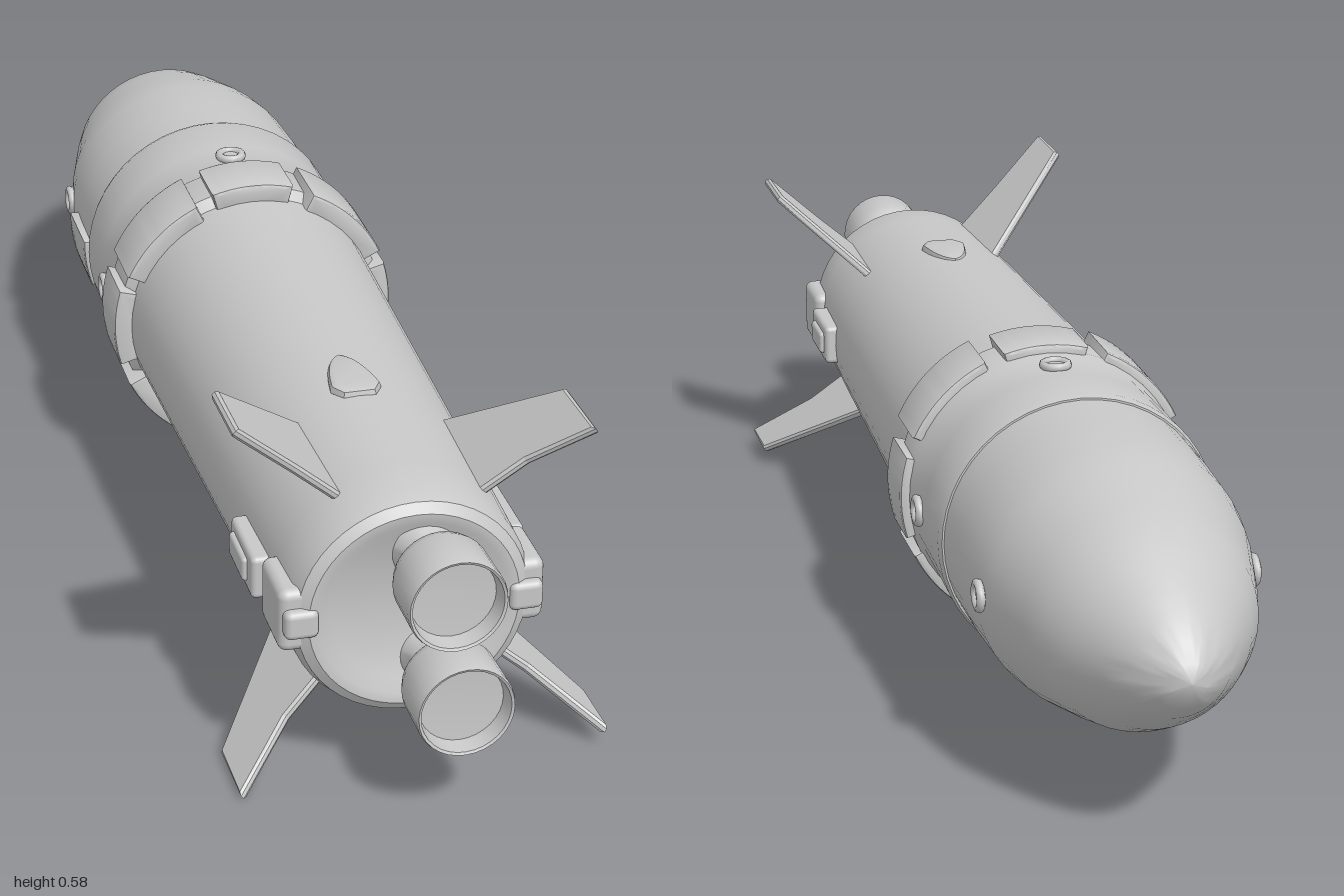
import * as THREE from 'three';
import { toCreasedNormals } from 'three/addons/utils/BufferGeometryUtils.js';
import { RoundedBoxGeometry } from 'three/addons/geometries/RoundedBoxGeometry.js';

const hullGrey = new THREE.MeshStandardMaterial({ color: 0xc8c8c8 });
hullGrey.name = 'hullGrey';

function part(name, geometry, parent) {
  const mesh = new THREE.Mesh(geometry, hullGrey);
  mesh.name = name;
  parent.add(mesh);
  return mesh;
}

// Solid of revolution about z from [z, radius] pairs, listed tail to nose
function turned(profile, segments = 48) {
  const pts = profile.map(([z, r]) => new THREE.Vector2(r, -z));
  return toCreasedNormals(new THREE.LatheGeometry(pts, segments).rotateX(-Math.PI / 2), 0.6);
}

// Bevelled piece of a ring, centred on +x, running from z0 to z1
function ringBlock(rIn, rOut, half, z0, z1) {
  const bevel = 0.006;
  const s = new THREE.Shape();
  s.absarc(0, 0, rOut - bevel, -half, half, false);
  s.absarc(0, 0, rIn, half, -half, true);
  const g = new THREE.ExtrudeGeometry(s, {
    depth: z1 - z0 - 2 * bevel, curveSegments: 8,
    bevelEnabled: true, bevelSize: bevel, bevelThickness: bevel, bevelSegments: 2,
  });
  return toCreasedNormals(g.translate(0, 0, z0 + bevel), 0.7);
}

// Pivot whose local +x points outward from the hull at the given angle
function spoke(name, angle, parent) {
  const g = new THREE.Group();
  g.name = name;
  g.rotation.z = angle;
  parent.add(g);
  return g;
}

function addPorthole(angle, radius, z, parent) {
  const g = spoke('porthole', angle, parent);
  const rim = part('portholeRim', new THREE.TorusGeometry(0.019, 0.007, 8, 12).rotateY(Math.PI / 2), g);
  rim.position.set(radius + 0.003, 0, z);
  const pane = part('portholePane', new THREE.CylinderGeometry(0.018, 0.018, 0.012, 12).rotateZ(-Math.PI / 2), g);
  pane.position.set(radius - 0.002, 0, z);
}

function addFin({ name, root, tip, zLead, zTrail }, parent) {
  const a = new THREE.Vector3(...root, 0);
  const dir = new THREE.Vector3(...tip, 0).sub(a);
  const len = dir.length();
  dir.normalize();
  const s = new THREE.Shape([
    [-0.03, 0.54], [len, zLead], [len, zTrail], [len * 0.4, 0.79], [-0.03, 0.77],
  ].map(p => new THREE.Vector2(...p)));
  const g = new THREE.ExtrudeGeometry(s, {
    depth: 0.006, bevelEnabled: true, bevelSize: 0.004, bevelOffset: -0.004,
    bevelThickness: 0.004, bevelSegments: 1,
  });
  g.translate(0, 0, -0.003);
  const zAxis = new THREE.Vector3(0, 0, 1);
  g.applyMatrix4(new THREE.Matrix4().makeBasis(dir, zAxis, dir.clone().cross(zAxis)).setPosition(a));
  part(name, g, parent);
}

export function createModel() {
  const model = new THREE.Group();
  model.name = 'rocket';

  // Everything on the hull shares its slightly tilted axis
  const body = new THREE.Group();
  body.name = 'body';
  body.position.set(-0.011, 0.287, 0);
  body.rotation.set(0.01, -0.012, 0);
  model.add(body);

  // Main hull with dished tail
  part('hull', turned([
    [0.838, 0], [0.84, 0.12], [0.852, 0.14], [0.853, 0.155], [0.843, 0.17], [0.82, 0.178],
    [0.75, 0.181], [0.6, 0.186], [0.3, 0.195], [-0.1, 0.207], [-0.15, 0.21],
  ]), body);
  // Forward band and nose cone
  part('forwardBand', turned([
    [-0.1, 0.2], [-0.125, 0.222], [-0.2, 0.224], [-0.215, 0.217], [-0.3, 0.218],
    [-0.4, 0.22], [-0.412, 0.216], [-0.412, 0.2],
  ]), body);
  part('noseCone', turned([
    [-0.405, 0.213], [-0.5, 0.212], [-0.6, 0.208], [-0.65, 0.2], [-0.7, 0.187], [-0.75, 0.174],
    [-0.8, 0.159], [-0.85, 0.133], [-0.9, 0.102], [-0.94, 0.076], [-0.97, 0.05], [-0.99, 0.026], [-1, 0],
  ]), body);

  // Castellated collar
  for (let i = 0; i < 8; i++) {
    const g = spoke('collarSection', i * Math.PI / 4, body);
    const wide = i % 2;
    part('collarBlock', ringBlock(0.2, 0.236, wide ? 0.33 : 0.27, -0.205, wide ? -0.085 : -0.1), g);
  }

  // Portholes: four round the band, two on the nose
  for (let i = 0; i < 4; i++) addPorthole(i * Math.PI / 2, 0.218, -0.26, body);
  for (const a of [0, Math.PI]) addPorthole(a, 0.206, -0.62, body);

  // Hatch panel on the right of the nose
  part('hatchPanel', ringBlock(0.2, 0.224, 0.17, -0.55, -0.42), spoke('hatch', Math.PI + 0.15, body));

  // Side brackets near the tail
  for (const a of [0, Math.PI]) {
    const g = spoke('sideBrackets', a, body);
    part('bracketFrame', new RoundedBoxGeometry(0.035, 0.068, 0.13, 2, 0.008), g).position.set(0.187, 0, 0.655);
    part('bracketPad', new RoundedBoxGeometry(0.03, 0.038, 0.085, 2, 0.006), g).position.set(0.197, 0, 0.65);
    part('tailClamp', new RoundedBoxGeometry(0.055, 0.1, 0.11, 3, 0.014), g).position.set(0.168, 0, 0.79);
    part('tailLatch', new RoundedBoxGeometry(0.05, 0.045, 0.04, 2, 0.01), g).position.set(0.165, 0, 0.84);
  }

  // Teardrop fairing on top
  const drop = new THREE.Shape();
  drop.moveTo(0, 0.065);
  drop.quadraticCurveTo(0.025, 0.05, 0.034, -0.03);
  drop.lineTo(0.022, -0.05);
  drop.lineTo(-0.022, -0.05);
  drop.lineTo(-0.034, -0.03);
  drop.quadraticCurveTo(-0.025, 0.05, 0, 0.065);
  const fairing = part('topFairing', toCreasedNormals(new THREE.ExtrudeGeometry(drop, {
    depth: 0.012, bevelEnabled: true, bevelSize: 0.008, bevelOffset: -0.004, bevelThickness: 0.008, bevelSegments: 2,
  }).rotateX(-Math.PI / 2), 0.7), body);
  fairing.position.set(0, 0.176, 0.5);

  // Twin engines
  for (const [x, y] of [[-0.005, 0.367], [0.011, 0.194]]) {
    const nozzle = part('engine', turned([
      [0.968, 0], [0.972, 0.062], [0.998, 0.066], [1, 0.07], [0.994, 0.072], [0.92, 0.071],
      [0.905, 0.066], [0.885, 0.046], [0.868, 0.036], [0.855, 0.04], [0.83, 0.052],
    ], 32), model);
    nozzle.position.set(x, y, 0);
  }

  // Swept tail fins
  [
    { name: 'upperRightFin', root: [-0.118, 0.435], tip: [-0.274, 0.58], zLead: 0.7, zTrail: 0.82 },
    { name: 'upperLeftFin', root: [0.105, 0.412], tip: [0.242, 0.526], zLead: 0.72, zTrail: 0.845 },
    { name: 'lowerLeftFin', root: [0.105, 0.165], tip: [0.273, 0.031], zLead: 0.76, zTrail: 0.862 },
    { name: 'lowerRightFin', root: [-0.135, 0.14], tip: [-0.274, 0.006], zLead: 0.74, zTrail: 0.855 },
  ].forEach(f => addFin(f, model));

  return model;
}
